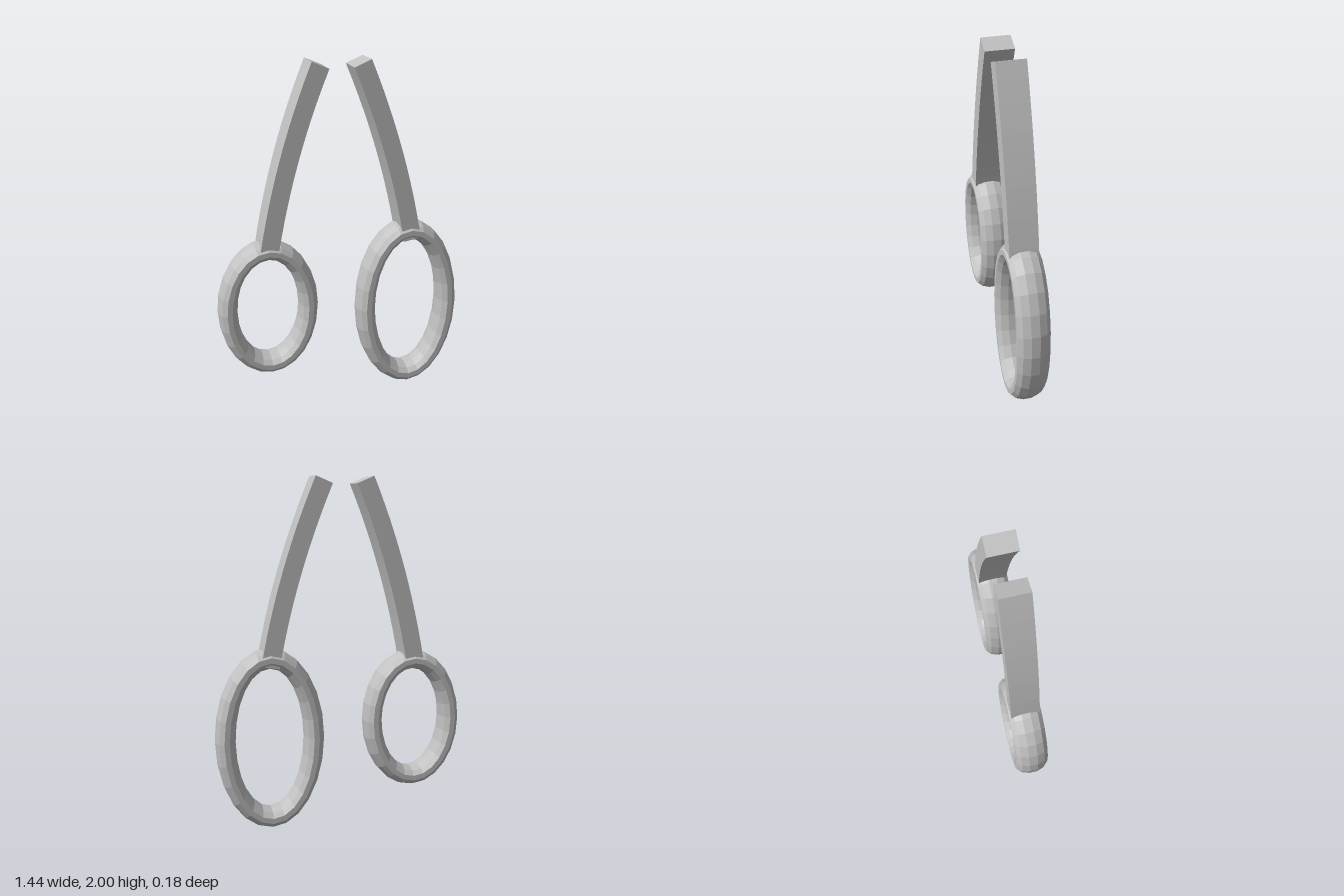
import * as THREE from 'three';

const grey = new THREE.MeshStandardMaterial({ color: 0xc0c0c0 });
grey.name = 'steelGrey';
grey.flatShading = true;

// Oval finger ring: constant tube thickness, deepened along z
function ring(name, cx, cy, a, b, r) {
  const sides = 12, turn = Math.PI / sides, grow = 1 / Math.cos(turn);
  const geo = new THREE.TorusGeometry(1, 0.1, sides, 24);
  const { position, uv } = geo.attributes;
  for (let i = 0; i < position.count; i++) {
    const u = uv.getX(i) * Math.PI * 2;
    const v = uv.getY(i) * Math.PI * 2 + turn;
    const out = r * grow * Math.cos(v);
    position.setXYZ(i, (a + out) * Math.cos(u), (b + out) * Math.sin(u), 0.092 * grow * Math.sin(v));
  }
  geo.computeVertexNormals();
  const mesh = new THREE.Mesh(geo, grey);
  mesh.name = name;
  mesh.position.set(cx, cy, 0);
  return mesh;
}

// Curved shank: a bar of square section following a bent centre line
function shank(name, start, bend, end) {
  const curve = new THREE.QuadraticBezierCurve(
    new THREE.Vector2(...start), new THREE.Vector2(...bend), new THREE.Vector2(...end));
  const half = 0.052, steps = 12, depth = 0.164;
  const left = [], right = [];
  for (let i = 0; i <= steps; i++) {
    const p = curve.getPoint(i / steps), t = curve.getTangent(i / steps);
    const n = new THREE.Vector2(t.y, -t.x).multiplyScalar(half);
    right.push(p.clone().add(n));
    left.push(p.clone().sub(n));
  }
  const outline = new THREE.Shape([...right, ...left.reverse()]);
  const geo = new THREE.ExtrudeGeometry(outline, { depth, bevelEnabled: false });
  geo.translate(0, 0, -depth / 2);
  const mesh = new THREE.Mesh(geo, grey);
  mesh.name = name;
  return mesh;
}

export function createModel() {
  const model = new THREE.Group();
  model.name = 'scissorHandles';

  // Small thumb handle
  const thumb = new THREE.Group();
  thumb.name = 'thumbHandle';
  thumb.add(
    ring('thumbRing', -0.435, 0.6, 0.2365, 0.353, 0.0535),
    shank('thumbShank', [-0.434, 0.95], [-0.339, 1.494], [-0.1325, 1.98]));

  // Large finger handle
  const finger = new THREE.Group();
  finger.name = 'fingerHandle';
  finger.add(
    ring('fingerRing', 0.4075, 0.526, 0.2565, 0.467, 0.056),
    shank('fingerShank', [0.412, 0.95], [0.322, 1.463], [0.1025, 1.98]));

  model.add(thumb, finger);
  return model;
}
